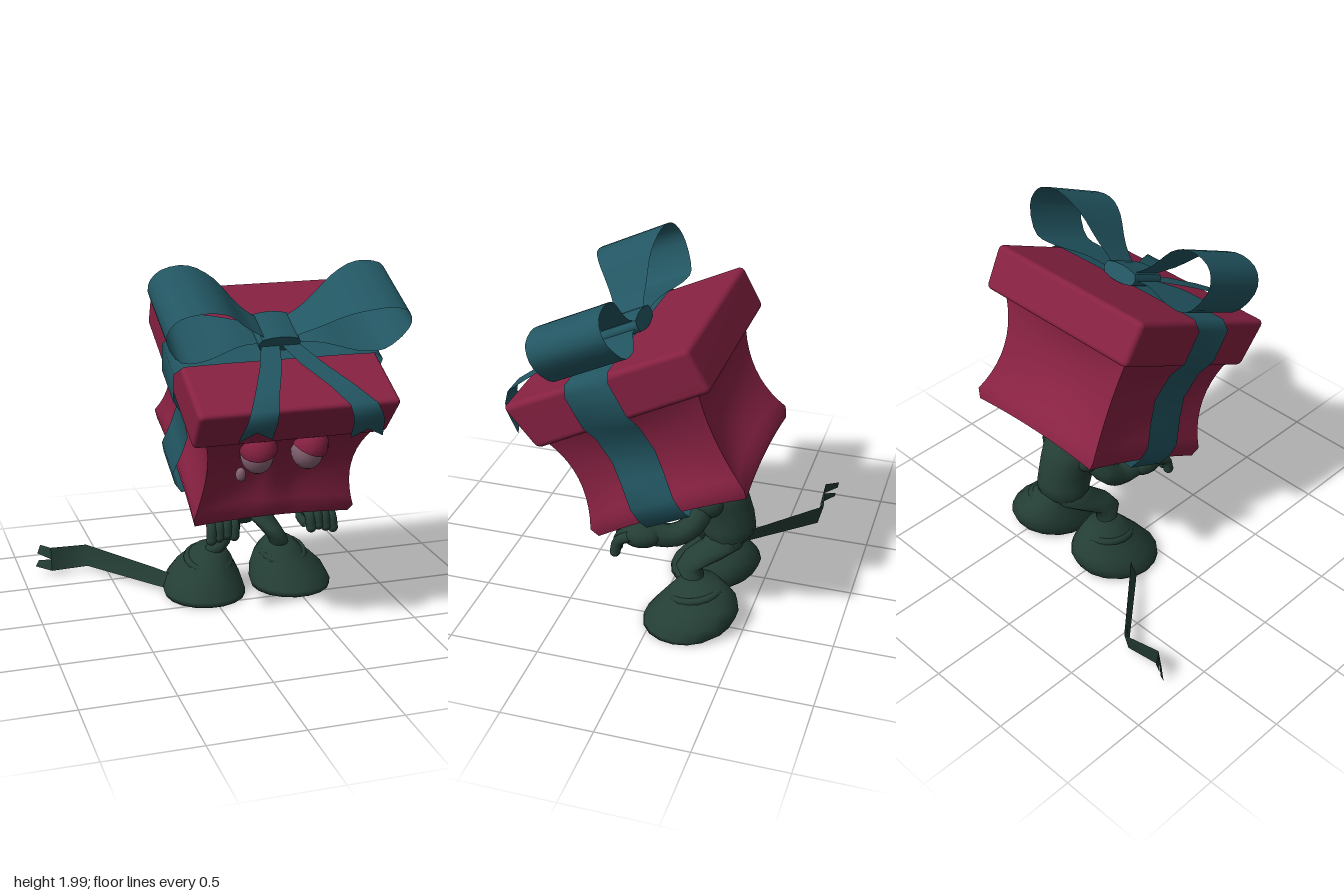
import * as THREE from 'three';
import { mergeVertices } from 'three/addons/utils/BufferGeometryUtils.js';
import { RoundedBoxGeometry } from 'three/addons/geometries/RoundedBoxGeometry.js';

const mat = (name, color) => Object.assign(new THREE.MeshStandardMaterial({ color, side: THREE.DoubleSide }), { name });
const red = mat('crimson paper', 0x872142);
const teal = mat('teal ribbon', 0x225662);
const green = mat('dark green', 0x243e35);
const mauve = mat('mauve eye', 0x8a6576);

const MID = 0.24; // x of the figure's plane of symmetry

function mesh(parent, name, geometry, material) {
  const m = new THREE.Mesh(geometry, material);
  m.name = name;
  parent.add(m);
  return m;
}

// Skin over rows of points; closed joins the last column to the first
function loft(rows, closed = false) {
  const n = rows[0].length, index = [];
  for (let r = 0; r < rows.length - 1; r++) {
    for (let c = 0; c < (closed ? n : n - 1); c++) {
      const a = r * n + c, b = r * n + (c + 1) % n;
      index.push(a, a + n, b, b, a + n, b + n);
    }
  }
  const g = new THREE.BufferGeometry();
  g.setAttribute('position', new THREE.Float32BufferAttribute(rows.flat(2), 3));
  g.setIndex(index);
  g.computeVertexNormals();
  return g;
}

// Stack of level ellipses [x, y, z, rx, rz], lowest first, closed at both ends
function stack(sections, sides = 14) {
  const first = sections[0], last = sections[sections.length - 1];
  const all = [[...first.slice(0, 3), 0.001, 0.001], ...sections, [...last.slice(0, 3), 0.001, 0.001]];
  return loft(all.map(([x, y, z, rx, rz]) => Array.from({ length: sides }, (_, i) => {
    const a = -i / sides * Math.PI * 2;
    return [x + Math.cos(a) * rx, y, z + Math.sin(a) * rz];
  })), true);
}

// Move every vertex by a rule
function warp(g, rule) {
  const pos = g.attributes.position;
  for (let i = 0; i < pos.count; i++) pos.setXYZ(i, ...rule(pos.getX(i), pos.getY(i), pos.getZ(i)));
  g.computeVertexNormals();
  return g;
}
const cube = n => new THREE.BoxGeometry(2, 2, 2, n, n, n);

const tube = (points, radius, n = 10) => new THREE.TubeGeometry(
  new THREE.CatmullRomCurve3(points.map(p => new THREE.Vector3(...p))), n, radius, 10);

function ball(parent, name, material, position, scale) {
  const m = mesh(parent, name, new THREE.SphereGeometry(1, 16, 12), material);
  m.position.set(...position);
  m.scale.set(...scale);
  return m;
}

function buildPresent() {
  const box = new THREE.Group();
  box.name = 'present';
  box.position.set(MID, 1.565, 0.225);
  box.rotation.x = 0.443;

  // Pinched box with shallow dents, a bevelled foot and a ridge down the front
  mesh(box, 'boxBody', warp(cube(12), (x, y, z) => {
    const h = 0.407 + 0.07 * y * y - (y < -0.99 ? 0.038 : 0), low = (1 - y) / 2;
    const dent = (1 - y * y) * 0.05;
    const ridge = z > 0.99 ? 0.035 * Math.max(0, 1 - Math.abs(4 * x)) * (1 - y * y) : 0;
    return [
      x * (h * (1 - 0.02 * (1 - z * z)) - dent * 0.6 * (1 - z * z)),
      -0.535 + 0.335 * y + low * (0.015 * (2 - x * x - z * z) + 0.04 * (1 - x * x) * (1 - z * z)),
      z * (h * (1 - 0.02 * (1 - x * x)) - dent * (1 - x * x)) + ridge,
    ];
  }), red);

  // Soft-edged lid, its front leaning in towards the bottom
  const lid = new RoundedBoxGeometry(1.08, 0.25, 1.075, 3, 0.03);
  lid.deleteAttribute('uv');
  lid.deleteAttribute('normal');
  mesh(box, 'boxLid', warp(mergeVertices(lid), (x, y, z) => {
    const low = 0.5 - y * 4;
    return [x * (1 - 0.02 * low), y - 0.12 - (z > 0 ? 0.025 * low : 0), z - low * (z > 0 ? 0.065 : 0.015)];
  }), red);

  // Ribbon around the lid, sides and bottom
  const half = [[0, 0.018], [0.3, 0.018], [0.525, 0.014], [0.575, -0.03], [0.555, -0.22], [0.49, -0.32],
    [0.45, -0.48], [0.47, -0.6], [0.505, -0.74], [0.485, -0.82], [0.44, -0.89], [0.25, -0.865], [0, -0.84]];
  const around = [...half, ...half.slice(0, -1).reverse().map(([x, y]) => [-x, y])];
  mesh(box, 'wrapRibbon', loft(around.map(([x, y]) => [[x, y, -0.1], [x, y, 0.155]])), teal);

  for (const side of [-1, 1]) {
    // Bow loop, widening away from the knot; the left one leans out lower
    const [lean, tall] = side > 0 ? [0.12, 0.91] : [0, 1];
    const path = new THREE.CatmullRomCurve3([[0.06, 0.08], [0.18, 0.17], [0.32, 0.31], [0.46, 0.365], [0.6, 0.33],
      [0.645, 0.23], [0.56, 0.07], [0.42, 0.055], [0.24, 0.07], [0.06, 0.05]]
      .map(([x, y]) => new THREE.Vector3(x + y * lean, y * tall, 0)));
    const rows = path.getPoints(28).map(p => {
      const w = THREE.MathUtils.lerp(0.09, 0.21, THREE.MathUtils.smoothstep(p.x, 0.08, 0.5));
      return [[side * p.x, p.y, -0.03 - w], [side * p.x, p.y, -0.03 + w]];
    });
    mesh(box, 'bowLoop', loft(rows), teal);

    // Swallow-tailed end hanging over the front of the lid
    const [spread, drop] = side > 0 ? [1.5, -0.185] : [-1, -0.145];
    const tail = [[0.04, 0.05, 0.06, 0.05], [0.09, 0.05, 0.24, 0.06], [0.16, 0.045, 0.42, 0.065],
      [0.21, 0.03, 0.555, 0.075], [0.225, -0.02, 0.585, 0.08], [0.235, -0.07, 0.585, 0.085], [0.242, drop, 0.575, 0.09]];
    mesh(box, 'bowTail', loft(tail.map(([x, y, z, w], i) => {
      const notch = i === tail.length - 1 ? 0.055 : 0;
      return [[x * spread - w, y, z], [x * spread, y + notch, z], [x * spread + w, y, z]];
    })), teal);
  }
  mesh(box, 'bowKnot', warp(cube(4), (x, y, z) => [
    0.005 + x * (0.115 - 0.015 * y * y), 0.058 + y * (0.048 - 0.015 * x * x), -0.03 + z * 0.11,
  ]), teal);
  return box;
}

// Heavy-lidded eyes and a tear
function buildFace() {
  const face = new THREE.Group();
  face.name = 'face';
  for (const side of [-1, 1]) {
    const x = MID + side * 0.14;
    ball(face, 'eyeball', mauve, [x, 1.03, 0.4], [0.092, 0.115, 0.1]);
    const lid = mesh(face, 'eyelid', new THREE.SphereGeometry(1, 16, 8, 0, Math.PI * 2, 0, Math.PI / 2), red);
    lid.position.set(x, 1.06, 0.42);
    lid.scale.set(0.102, 0.115, 0.125);
    lid.rotation.set(0.3, 0, -0.25 * side);
  }
  ball(face, 'tear', mauve, [0.025, 0.9, 0.355], [0.028, 0.038, 0.02]);
  return face;
}

function buildBody() {
  const body = new THREE.Group();
  body.name = 'body';
  body.position.x = MID;
  mesh(body, 'torso', stack([
    [0, 0.375, -0.31, 0.07, 0.06], [0, 0.42, -0.34, 0.14, 0.105], [0, 0.48, -0.345, 0.155, 0.145],
    [0, 0.53, -0.33, 0.15, 0.16], [0, 0.6, -0.325, 0.14, 0.155], [0, 0.68, -0.295, 0.15, 0.16],
    [0, 0.75, -0.265, 0.155, 0.165], [0, 0.8, -0.27, 0.1, 0.1]]), green);

  for (const s of [-1, 1]) {
    mesh(body, 'leg', stack([
      [s * 0.205, 0.18, -0.22, 0.075, 0.075], [s * 0.2, 0.25, -0.2, 0.055, 0.06], [s * 0.175, 0.31, -0.17, 0.058, 0.075],
      [s * 0.135, 0.37, -0.24, 0.068, 0.11], [s * 0.085, 0.43, -0.33, 0.085, 0.115], [s * 0.07, 0.5, -0.34, 0.07, 0.09]]), green);

    // Bell-shaped shoe with a folded cuff
    mesh(body, 'shoe', stack([
      [s * 0.26, 0.008, -0.17, 0.232, 0.23], [s * 0.262, 0.035, -0.19, 0.238, 0.245], [s * 0.255, 0.1, -0.23, 0.215, 0.237],
      [s * 0.237, 0.16, -0.25, 0.17, 0.205], [s * 0.22, 0.21, -0.25, 0.125, 0.16], [s * 0.208, 0.265, -0.24, 0.085, 0.1]], 18), green);
    const cuff = mesh(body, 'shoeCuff', new THREE.TorusGeometry(0.12, 0.022, 8, 18), green);
    cuff.position.set(s * 0.228, 0.195, -0.22);
    cuff.scale.y = 1.15;
    cuff.rotation.x = Math.PI / 2 + 0.2;

    // Bent arm with a thick limp hand, both hands swung a little to the left
    const hand = s * 0.275 + 0.03;
    ball(body, 'shoulder', green, [s * 0.13, 0.7, -0.25], [0.08, 0.085, 0.1]);
    mesh(body, 'arm', tube([[s * 0.13, 0.7, -0.25], [s * 0.21, 0.6, -0.2], [s * 0.24 + 0.015, 0.55, -0.11], [hand, 0.565, 0.04]], 0.065), green);
    ball(body, 'palm', green, [hand, 0.56, 0.06], [0.09, 0.075, 0.12]);
    for (let i = 0; i < 4; i++) {
      const x = hand + s * (i * 0.043 - 0.06), dy = -0.012 * Math.abs(i - 1);
      mesh(body, 'finger', tube([[x, 0.575, 0.1], [x + s * 0.005, 0.56 + dy, 0.165], [x + s * 0.01, 0.495 + dy, 0.18]], 0.029, 6), green);
      ball(body, 'fingertip', green, [x + s * 0.01, 0.495 + dy, 0.18], [0.029, 0.029, 0.029]);
    }
    mesh(body, 'thumb', tube([-0.055, -0.085, -0.065].map((dx, i) => [hand + s * dx, 0.55 - i * 0.03, 0.04 + i * 0.05]), 0.026, 6), green);
  }
  return body;
}

// Thin leaning streamer trailing behind, forked at its end
function buildStreamer() {
  const rows = [[-0.14, -0.15, 0.03, 0.1, 0.024], [-0.28, -0.31, 0.03, 0.125, 0.024],
    [-0.61, -0.695, 0.035, 0.16, 0.016], [-0.83, -0.665, 0.04, 0.178, 0.012]]
    .map(([x, z, low, high, lean]) => [[x, low, z + lean], [x, (low + high) / 2, z], [x, high, z - lean]]);
  const [a, b, c] = rows[3];
  const group = new THREE.Group();
  group.name = 'streamer';
  mesh(group, 'streamerBand', loft(rows), green);
  mesh(group, 'lowerProng', loft([[a, b], [[-0.915, 0.05, -0.725], [-0.895, 0.085, -0.73]]]), green);
  mesh(group, 'upperProng', loft([[b, c], [[-0.9, 0.125, -0.742], [-0.88, 0.175, -0.75]]]), green);
  return group;
}

export function createModel() {
  const model = new THREE.Group();
  model.name = 'sadPresentFigure';
  model.add(buildPresent(), buildFace(), buildBody(), buildStreamer());
  return model;
}
